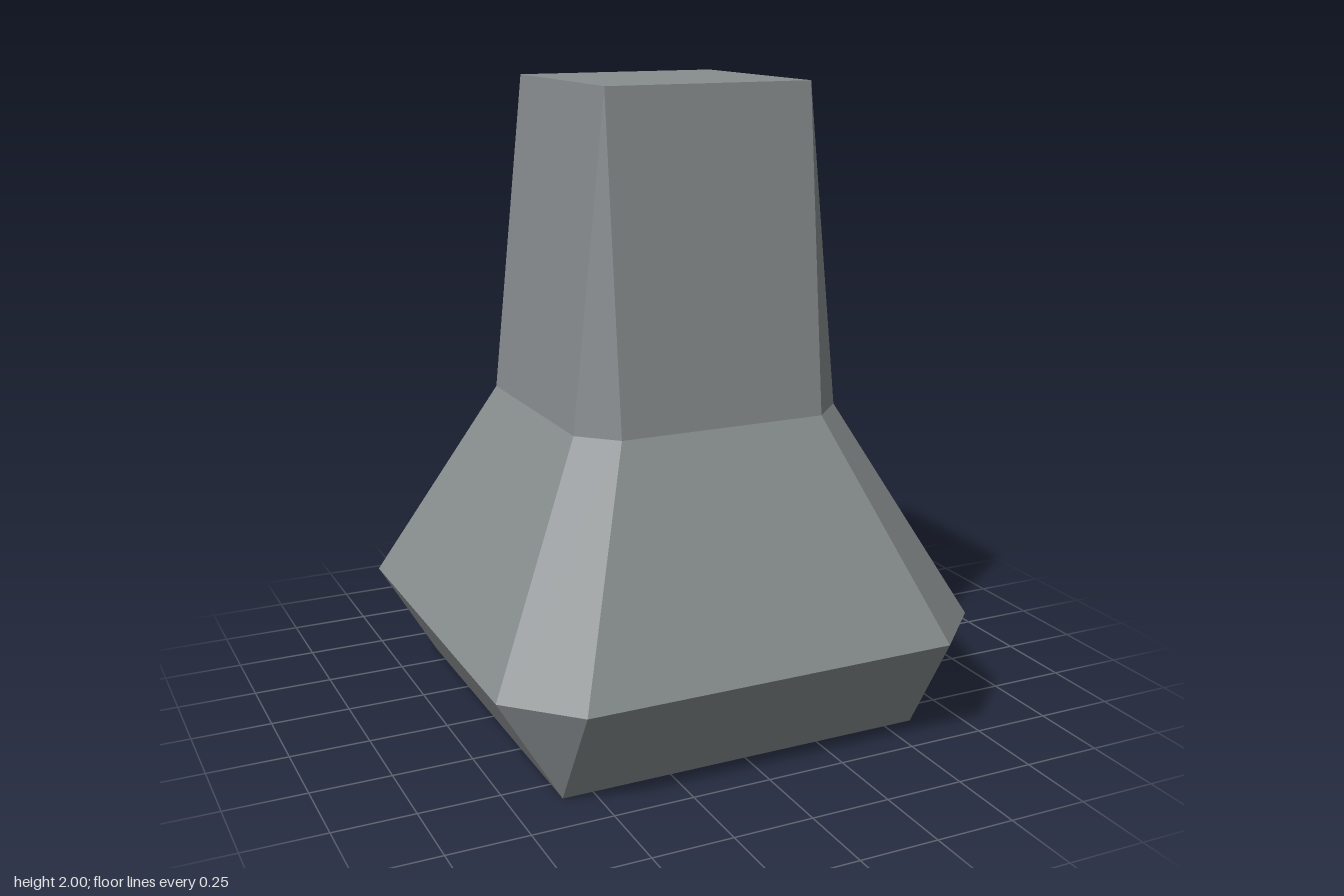
import * as THREE from 'three';

// Square ring with cut corners: a = half width, b = half length of the straight edge
function ring(y, a, b) {
  const points = [];
  for (let i = 0; i < 4; i++) {
    for (const [x, z] of [[a, b], [b, a]]) {
      const c = [1, 0, -1, 0][i], s = [0, 1, 0, -1][i];
      points.push(new THREE.Vector3(x * c - z * s, y, x * s + z * c));
    }
  }
  return points;
}

// Joins the rings from bottom to top and closes both ends, with flat faces
function loft(rings) {
  const positions = [];
  const face = (p, q, r) => {
    if (new THREE.Triangle(p, q, r).getArea() < 1e-6) return;
    for (const v of [p, q, r]) positions.push(v.x, v.y, v.z);
  };
  for (let k = 0; k < rings.length - 1; k++) {
    const low = rings[k], high = rings[k + 1];
    for (let i = 0; i < 8; i++) {
      const j = (i + 1) % 8;
      face(low[i], high[i], low[j]);
      face(low[j], high[i], high[j]);
    }
  }
  const bottom = rings[0], top = rings[rings.length - 1];
  for (let i = 1; i < 7; i++) {
    face(bottom[0], bottom[i], bottom[i + 1]);
    face(top[0], top[i + 1], top[i]);
  }
  const geometry = new THREE.BufferGeometry();
  geometry.setAttribute('position', new THREE.Float32BufferAttribute(positions, 3));
  geometry.computeVertexNormals();
  return geometry;
}

export function createModel() {
  const model = new THREE.Group();
  model.name = 'taperedPost';
  const grey = new THREE.MeshStandardMaterial({ color: 0x888d8f });
  grey.name = 'grey';

  // Square foot, flared base, narrow waist and square top
  const body = new THREE.Mesh(loft([
    ring(0, 0.595, 0.595),
    ring(0.333, 0.79, 0.595),
    ring(1, 0.44, 0.333),
    ring(2, 0.333, 0.333),
  ]), grey);
  body.name = 'body';
  model.add(body);
  return model;
}
